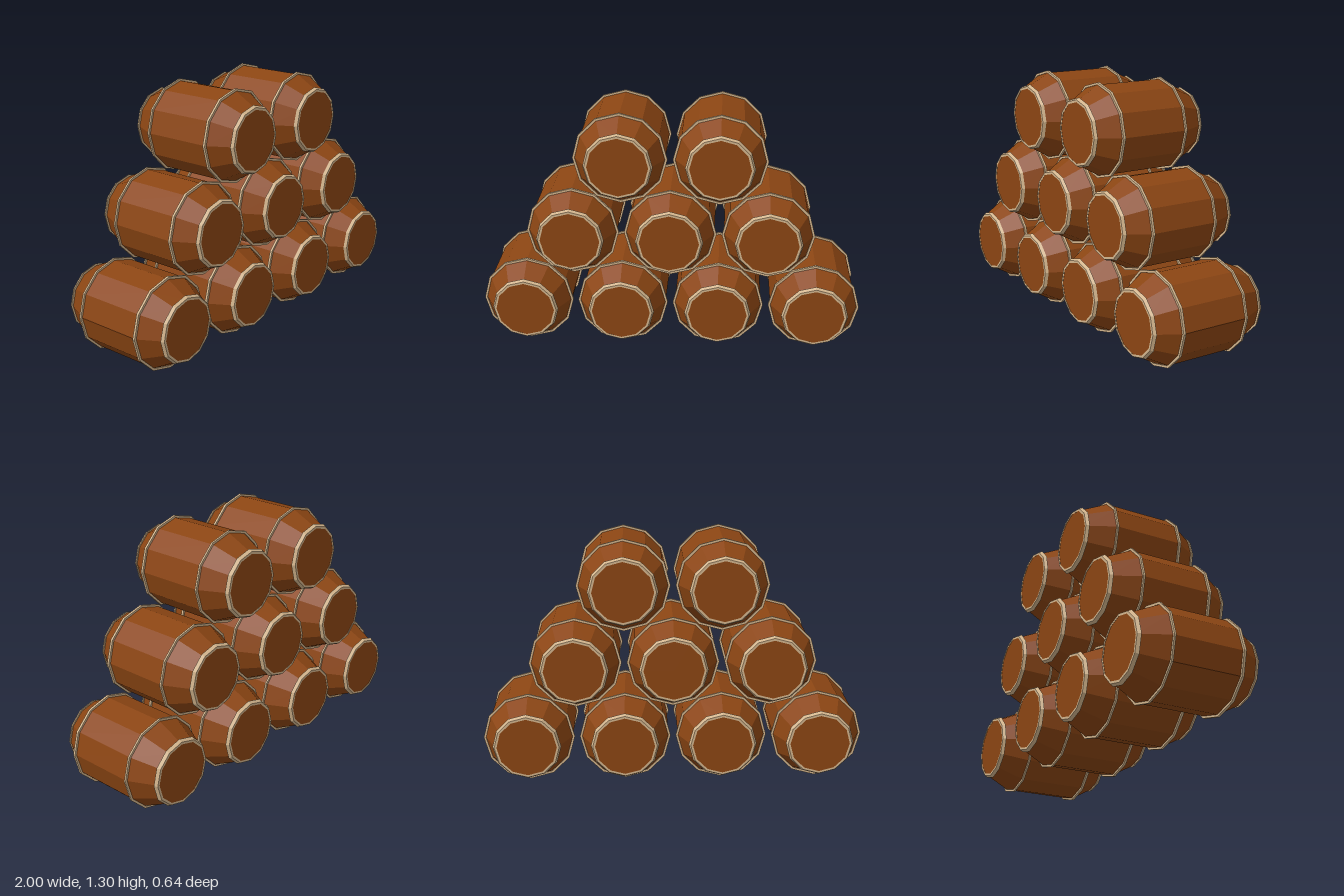
import * as THREE from 'three';

const SIDES = 12;
const wood = new THREE.MeshStandardMaterial({ color: 0x8b4513, flatShading: true });
const band = new THREE.MeshStandardMaterial({ color: 0xd2b48c, flatShading: true });

// Revolve [radius, z] pairs around the z axis
function turned(profile) {
  const points = profile.map(([r, z]) => new THREE.Vector2(r, z));
  return new THREE.LatheGeometry(points, SIDES).rotateX(Math.PI / 2);
}

// Closed ring between two z positions, with its own outer radius at each end
function ring(z0, r0, z1, r1, depth = 0.012) {
  return turned([[r0 - depth, z0], [r0, z0], [r1, z1], [r1 - depth, z1], [r0 - depth, z0]]);
}

// Staves and both heads in one profile: straight belly, tapered ends
const bodyGeometry = turned([
  [0, -0.317], [0.158, -0.317], [0.229, -0.17], [0.229, 0.193], [0.158, 0.317], [0, 0.317],
]);

const hoopGeometries = {
  backEndHoop: ring(-0.319, 0.167, -0.302, 0.177),
  backBellyHoop: ring(-0.176, 0.24, -0.166, 0.24),
  frontBellyHoop: ring(0.187, 0.24, 0.2, 0.24),
  frontEndHoop: ring(0.303, 0.174, 0.319, 0.165),
};

function createBarrel() {
  const barrel = new THREE.Group();
  const body = new THREE.Mesh(bodyGeometry, wood);
  body.name = 'barrelBody';
  barrel.add(body);
  for (const [name, geometry] of Object.entries(hoopGeometries)) {
    const hoop = new THREE.Mesh(geometry, band);
    hoop.name = name;
    barrel.add(hoop);
  }
  return barrel;
}

export function createModel() {
  const model = new THREE.Group();
  model.name = 'barrelStack';
  // Rows of four, three and two barrels
  [4, 3, 2].forEach((count, row) => {
    for (let i = 0; i < count; i++) {
      const barrel = createBarrel();
      barrel.name = `barrelRow${row + 1}Number${i + 1}`;
      barrel.position.set((i - (count - 1) / 2) * 0.507, 0.24 + row * 0.41, 0);
      model.add(barrel);
    }
  });
  return model;
}
